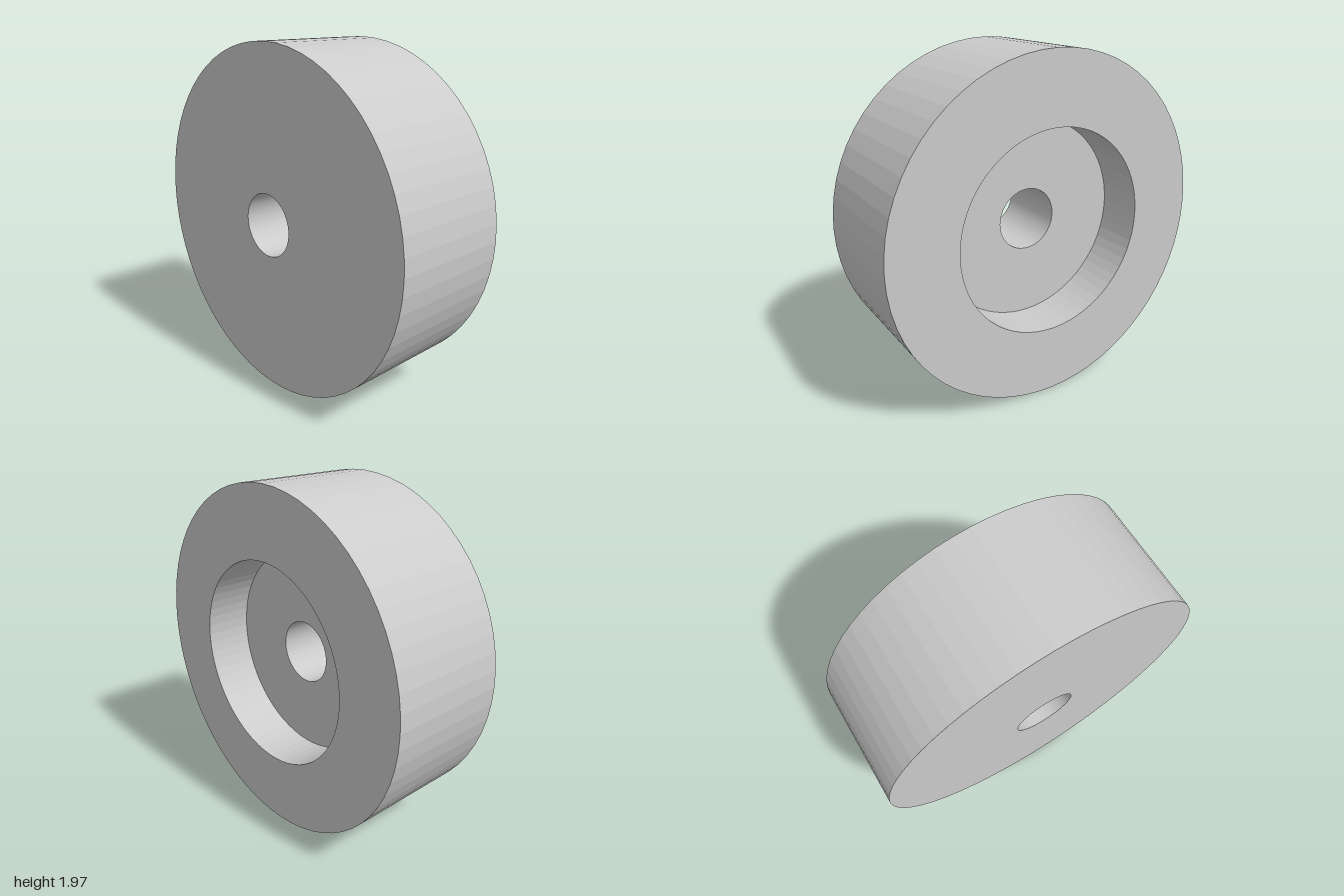
import * as THREE from 'three';

export function createModel() {
  const R = 0.983;          // outer radius
  const half = 0.357;       // half thickness
  const recessR = 0.583;    // counterbore radius
  const boreR = 0.18;       // through hole radius
  const floor = -0.084;     // counterbore floor along the axis

  // Closed cross-section: rim, front face, bore, recess floor, recess wall, back face
  const profile = [
    [R, -half], [R, half], [boreR, half], [boreR, floor],
    [recessR, floor], [recessR, -half], [R, -half],
  ].map(([r, y]) => new THREE.Vector2(r, y));

  const geometry = new THREE.LatheGeometry(profile, 64);
  geometry.rotateX(Math.PI / 2); // axis along z, recess at the back

  const material = new THREE.MeshStandardMaterial({ color: 0xcccccc, flatShading: true });
  const wheel = new THREE.Mesh(geometry, material);
  wheel.name = 'counterboredWheel';
  wheel.position.y = R;
  wheel.rotation.y = -0.646; // turned towards the right

  const group = new THREE.Group();
  group.name = 'wheel';
  group.add(wheel);
  return group;
}
